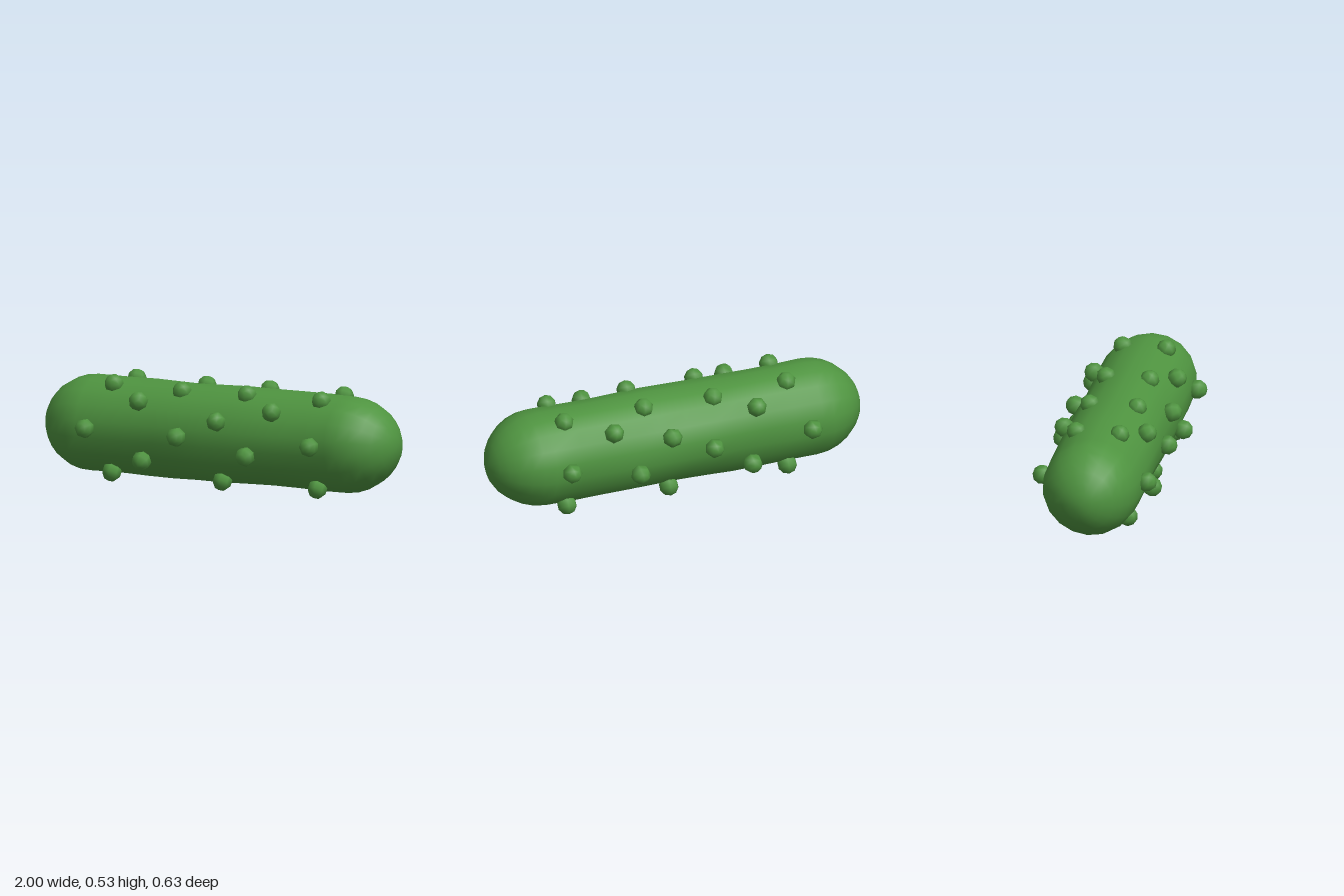
import * as THREE from 'three';
import { mergeVertices } from 'three/addons/utils/BufferGeometryUtils.js';

const RADIUS = 0.244, CENTRE_Y = 0.265, CAP = 0.28;

// Rounded, slightly lumpy body lying along x
function bodyGeometry() {
  const raw = new THREE.CapsuleGeometry(RADIUS, 2 - 2 * CAP, 7, 18, 10);
  raw.rotateZ(-Math.PI / 2);
  raw.deleteAttribute('uv');
  raw.deleteAttribute('normal');
  const geo = mergeVertices(raw, 1e-4);
  const p = geo.attributes.position;
  const straight = 1 - CAP;
  for (let i = 0; i < p.count; i++) {
    let x = p.getX(i);
    const y = p.getY(i), z = p.getZ(i);
    // Stretch the end caps a little
    const past = Math.abs(x) - straight;
    if (past > 0) x = Math.sign(x) * (straight + past * CAP / RADIUS);
    const a = Math.atan2(z, y);
    const s = 1 + 0.012 * Math.sin(7 * x + 3 * a) + 0.006 * Math.sin(13 * x - 2 * a);
    p.setXYZ(i, x, y * s, z * s);
  }
  geo.computeVertexNormals();
  return geo;
}

export function createModel() {
  const model = new THREE.Group();
  model.name = 'pickle';
  const green = new THREE.MeshStandardMaterial({ color: 0x4f9440 });
  green.name = 'pickle green';

  const body = new THREE.Mesh(bodyGeometry(), green);
  body.name = 'body';
  body.position.y = CENTRE_Y;
  model.add(body);

  // Warts as x, y, z on the front half, mirrored to the back
  const warts = [
    [-0.57, 0.485, 0.11], [-0.17, 0.478, 0.12], [0.2, 0.485, 0.11], [0.63, 0.485, 0.11],
    [-0.37, 0.425, 0.21], [0.4, 0.425, 0.21], [0.1, 0.36, 0.245],
    [-0.65, 0.275, 0.265], [-0.12, 0.27, 0.265], [0.65, 0.275, 0.265],
    [0.28, 0.2, 0.265], [-0.34, 0.13, 0.23],
    [-0.56, 0.05, 0.15], [0.08, 0.05, 0.15], [0.63, 0.05, 0.15],
  ];
  const wartGeo = new THREE.SphereGeometry(0.05, 7, 5);
  const outward = new THREE.Vector3();
  const up = new THREE.Vector3(0, 1, 0);
  for (const side of [1, -1]) {
    for (const [x, y, z] of warts) {
      const wart = new THREE.Mesh(wartGeo, green);
      wart.name = side > 0 ? 'frontWart' : 'backWart';
      wart.position.set(x, y, z * side);
      outward.set(0, y - CENTRE_Y, z * side).normalize();
      wart.quaternion.setFromUnitVectors(up, outward);
      model.add(wart);
    }
  }
  return model;
}
